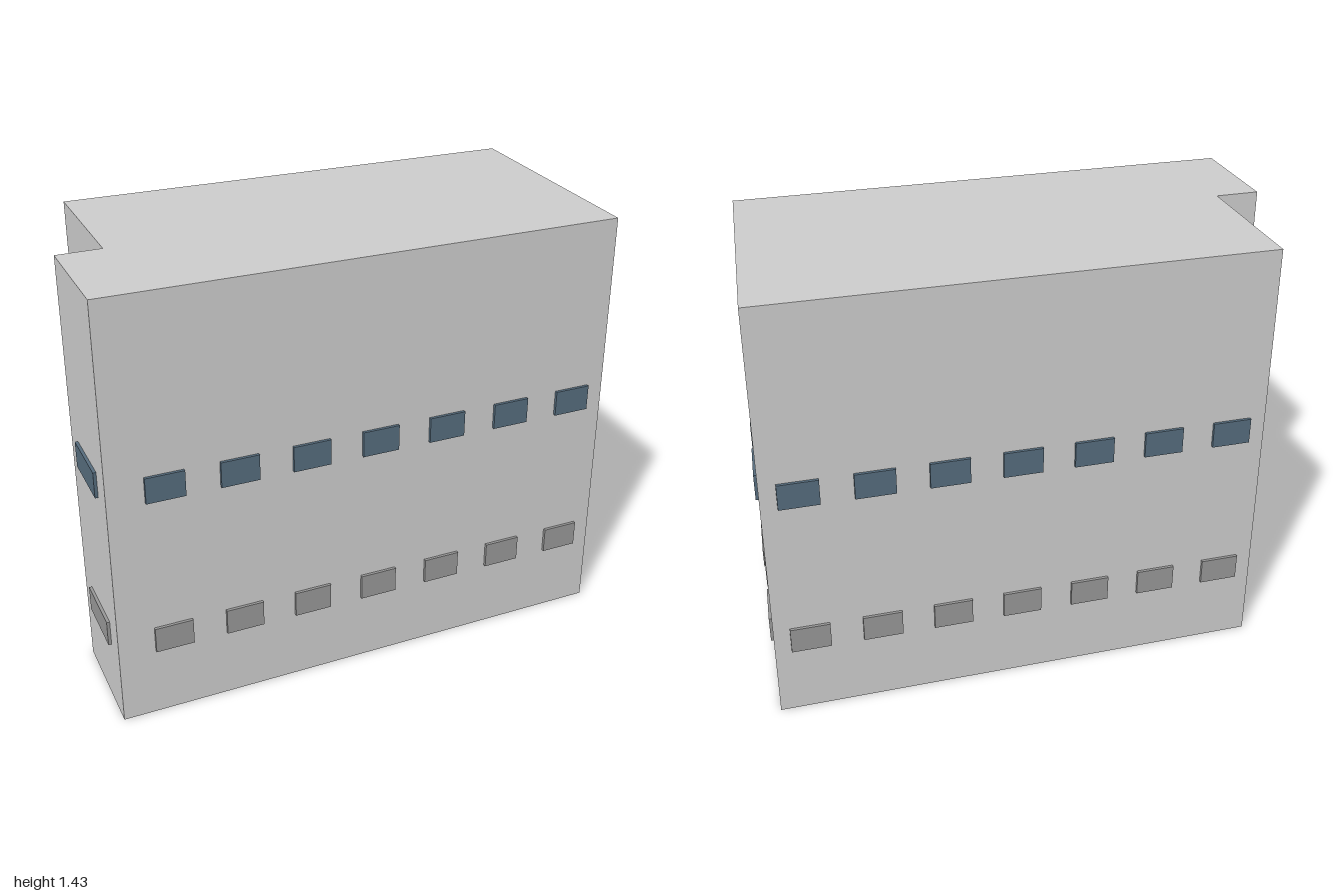
import * as THREE from 'three';

const HEIGHT = 1.43;
// Footprint corners as [x, z]; wall i runs from corner i to corner i + 1
const CORNERS = [[0.02, -1], [0.77, -0.51], [-0.06, 1], [-0.4, 0.81], [-0.33, 0.68], [-0.77, 0.43]];

const wallMat = new THREE.MeshStandardMaterial({ color: 0xcccccc });
const glassMat = new THREE.MeshStandardMaterial({ color: 0x556b7c });
const shutterMat = new THREE.MeshStandardMaterial({ color: 0x969696 });
const canopyMat = new THREE.MeshStandardMaterial({ color: 0x6f6f6f });

// Box half sunk into a wall, at fraction t along it
function panelOnWall(name, wall, t, y, w, h, out, material) {
  const [x0, z0] = CORNERS[wall];
  const [x1, z1] = CORNERS[(wall + 1) % CORNERS.length];
  const mesh = new THREE.Mesh(new THREE.BoxGeometry(w, h, out * 2), material);
  mesh.name = name;
  mesh.position.set(x0 + (x1 - x0) * t, y, z0 + (z1 - z0) * t);
  mesh.rotation.y = Math.atan2(z1 - z0, x0 - x1);
  return mesh;
}

export function createModel() {
  const model = new THREE.Group();
  model.name = 'building';

  // Main block with the notched corner
  const footprint = new THREE.Shape(CORNERS.map(([x, z]) => new THREE.Vector2(x, -z)));
  const blockGeo = new THREE.ExtrudeGeometry(footprint, { depth: HEIGHT, bevelEnabled: false });
  blockGeo.rotateX(-Math.PI / 2);
  const block = new THREE.Mesh(blockGeo, wallMat);
  block.name = 'mainBlock';
  model.add(block);

  // Window rows: first position, spacing and count along each wall
  const rows = [
    { wall: 0, first: 0.167, step: 0.333, count: 3, width: 0.165 },
    { wall: 1, first: 0.07, step: 0.1375, count: 7, width: 0.125 },
    { wall: 2, first: 0.5, step: 0, count: 1, width: 0.215 },
    { wall: 4, first: 0.25, step: 0.5, count: 2, width: 0.138 },
    { wall: 5, first: 1 / 14, step: 1 / 7, count: 7, width: 0.128 },
  ];
  const windows = new THREE.Group();
  windows.name = 'windows';
  for (const { wall, first, step, count, width } of rows) {
    for (let i = 0; i < count; i++) {
      const t = first + step * i;
      windows.add(panelOnWall('upperWindow', wall, t, 0.812, width, 0.086, 0.01, glassMat));
      windows.add(panelOnWall('lowerWindow', wall, t, 0.277, width, 0.086, 0.01, shutterMat));
    }
  }
  model.add(windows);

  // Canopy on the rear wall
  model.add(panelOnWall('canopy', 0, 0.763, 0.207, 0.22, 0.064, 0.018, canopyMat));

  return model;
}
